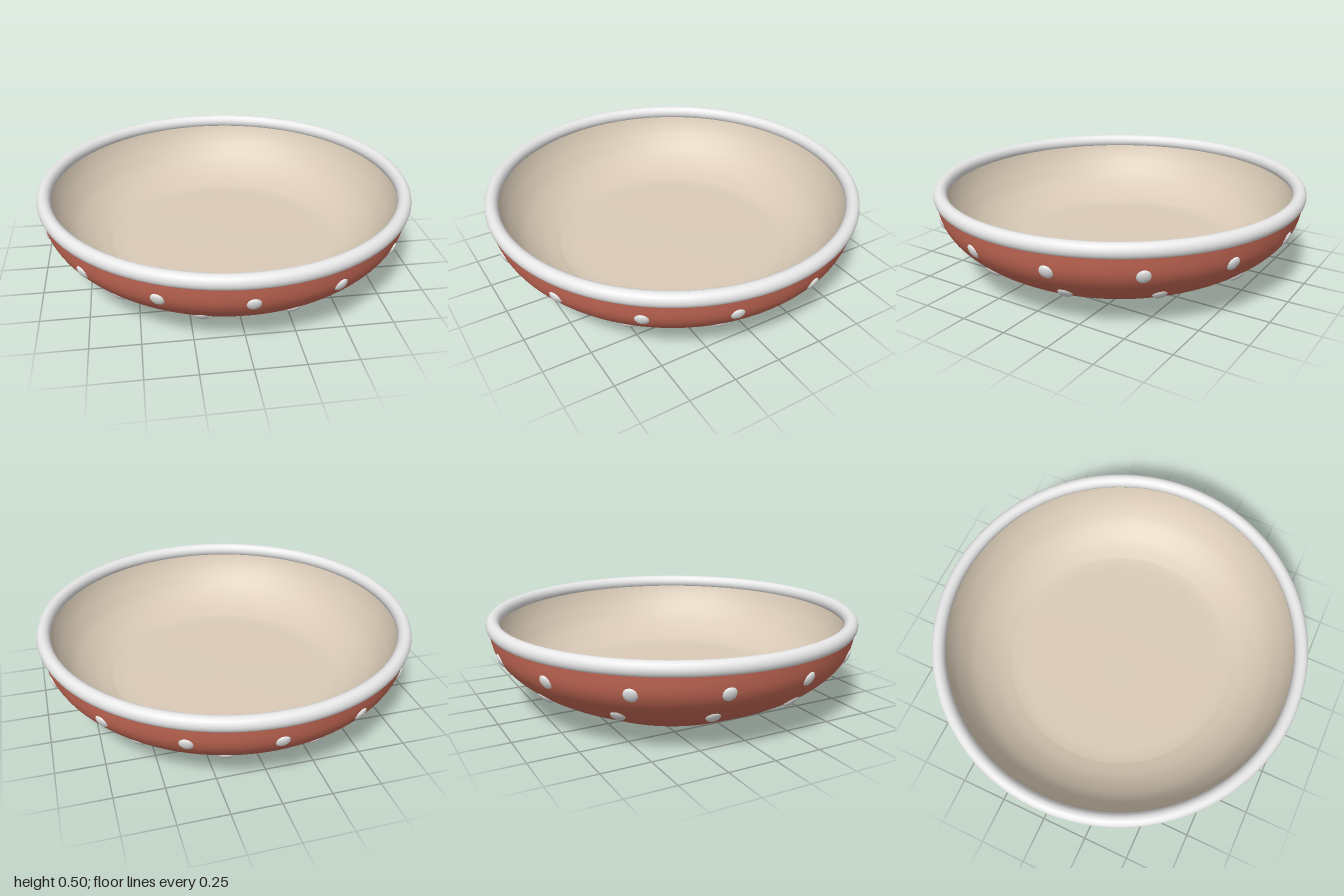
import * as THREE from 'three';

const mat = (name, color) => {
  const m = new THREE.MeshStandardMaterial({ color });
  m.name = name;
  return m;
};

const toPoints = (list) => list.map(([r, y]) => new THREE.Vector2(r, y));
// Smooth curve through a few profile points
const smooth = (list, n) => new THREE.SplineCurve(toPoints(list)).getPoints(n);

export function createModel() {
  const group = new THREE.Group();
  const terracotta = mat('terracotta', 0xcb6c58);
  const cream = mat('cream glaze', 0xdacbb7);
  const white = mat('pale grey glaze', 0xe8e8e8);

  const add = (name, geometry, material, parent = group) => {
    const mesh = new THREE.Mesh(geometry, material);
    mesh.name = name;
    parent.add(mesh);
    return mesh;
  };

  // Outer wall with a softly rounded foot, closed underneath
  const outer = smooth([[0.535, 0.02], [0.61, 0.056], [0.735, 0.117], [0.84, 0.185],
    [0.92, 0.262], [0.966, 0.34], [0.989, 0.44]], 24);
  const foot = toPoints([[0, 0], [0.47, 0], [0.495, 0.003], [0.513, 0.009]]);
  add('outerWall', new THREE.LatheGeometry([...foot, ...outer], 96), terracotta);

  // Inside surface, from the lip down to the floor
  const inner = smooth([[0.945, 0.46], [0.925, 0.4], [0.888, 0.33], [0.82, 0.245],
    [0.72, 0.175], [0.62, 0.137]], 24);
  add('innerBowl', new THREE.LatheGeometry([...inner, ...toPoints([[0.55, 0.128], [0, 0.125]])], 96), cream);

  // Rounded rim, slightly taller than wide
  const rim = new THREE.TorusGeometry(0.964, 0.036, 16, 96);
  rim.rotateX(Math.PI / 2);
  rim.scale(1, 1.08, 1);
  add('rim', rim, white).position.y = 0.46;

  // Two staggered rings of raised dots, lying on the sloping wall
  const dot = new THREE.SphereGeometry(1, 12, 8);
  const addDots = (name, count, offset, radius, y, tilt, height) => {
    const ring = new THREE.Group();
    ring.name = name;
    for (let i = 0; i < count; i++) {
      const a = ((i + offset) / count) * Math.PI * 2;
      const mesh = add('dot', dot, white, ring);
      mesh.position.set(Math.sin(a) * radius, y, Math.cos(a) * radius);
      mesh.rotation.set(tilt, a, 0, 'YXZ');
      mesh.scale.set(0.036, height, 0.016);
    }
    group.add(ring);
  };
  addDots('upperDots', 14, 0, 0.96, 0.336, 0.42, 0.039);
  addDots('lowerDots', 12, 0.5, 0.838, 0.185, 0.8, 0.048);

  return group;
}
